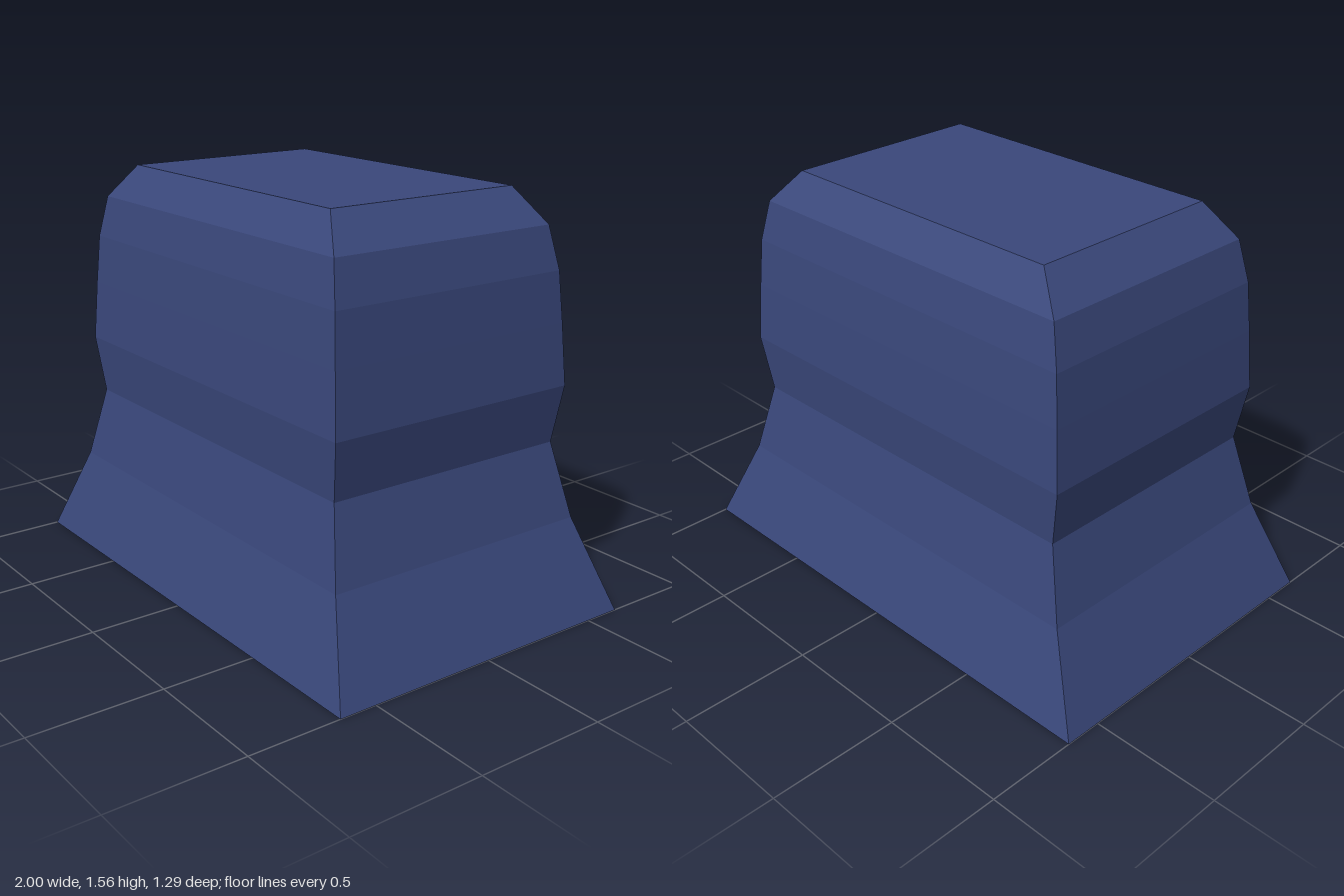
import * as THREE from 'three';

// Half width (x), half depth (z) and height (y) of each rectangular section
const SECTIONS = [
  [1.0, 0.645, 0],
  [0.845, 0.548, 0.345],
  [0.77, 0.498, 0.63],
  [0.805, 0.52, 0.85],
  [0.787, 0.509, 1.08],
  [0.77, 0.498, 1.27],
  [0.732, 0.474, 1.43],
  [0.615, 0.4, 1.56],
];

// Skins a stack of rectangles with flat faces and closes both ends
function loftRectangles(sections) {
  const positions = [];
  const rings = sections.map(([x, z, y]) => [
    [x, y, z], [x, y, -z], [-x, y, -z], [-x, y, z],
  ]);
  const quad = (a, b, c, d) => positions.push(...a, ...b, ...c, ...a, ...c, ...d);

  for (let i = 0; i < rings.length - 1; i++) {
    const low = rings[i], high = rings[i + 1];
    for (let k = 0; k < 4; k++) {
      const n = (k + 1) % 4;
      quad(low[k], low[n], high[n], high[k]);
    }
  }
  const bottom = rings[0], top = rings[rings.length - 1];
  quad(top[0], top[1], top[2], top[3]);
  quad(bottom[3], bottom[2], bottom[1], bottom[0]);

  const geometry = new THREE.BufferGeometry();
  geometry.setAttribute('position', new THREE.Float32BufferAttribute(positions, 3));
  geometry.computeVertexNormals();
  return geometry;
}

export function createModel() {
  const group = new THREE.Group();
  group.name = 'flaredBlock';

  const blue = new THREE.MeshStandardMaterial({ color: 0x3a487c });
  blue.name = 'slate blue';

  // Flared foot, narrow waist, bulging body and bevelled top in one skin
  const body = new THREE.Mesh(loftRectangles(SECTIONS), blue);
  body.name = 'body';
  group.add(body);
  return group;
}
